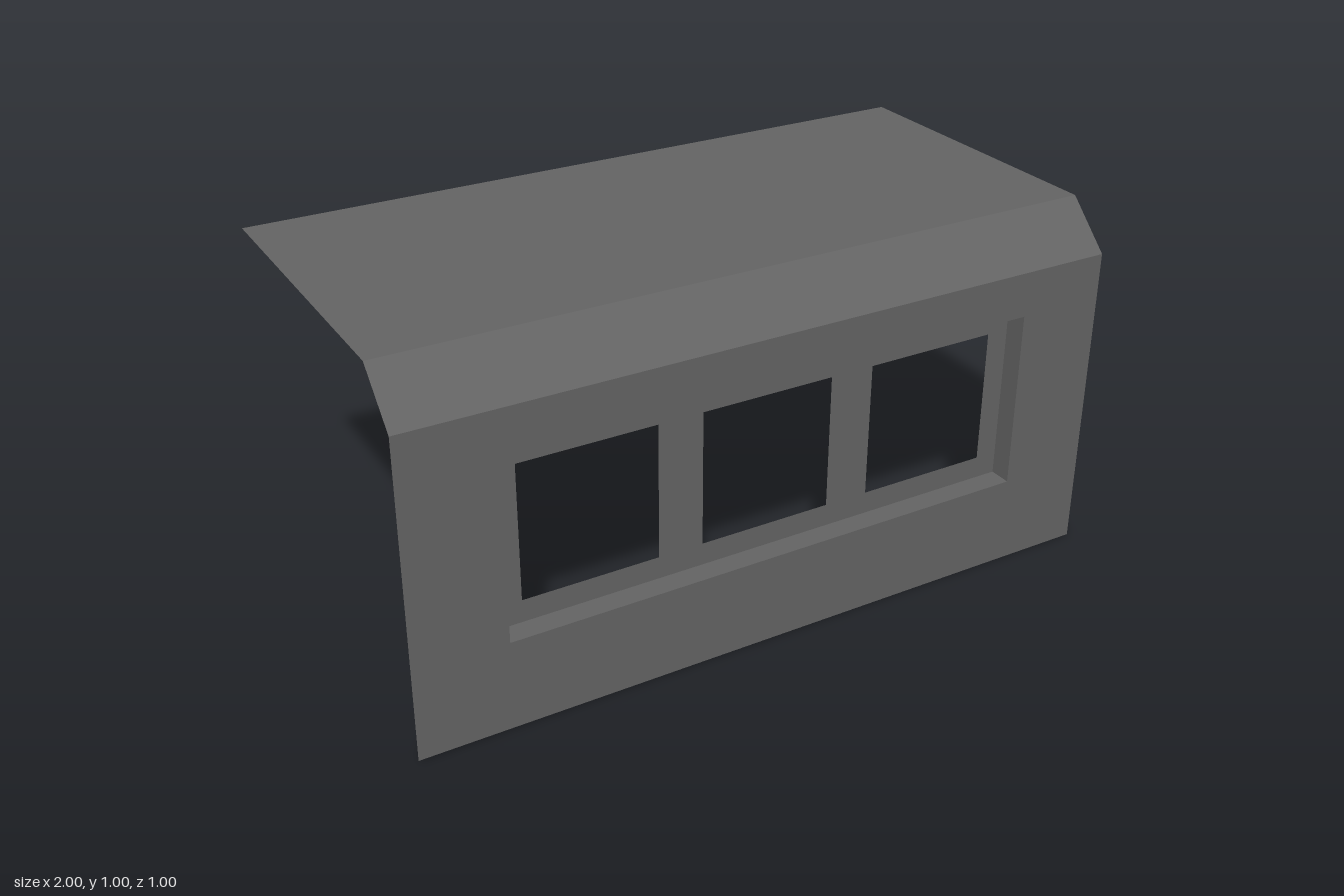
import * as THREE from 'three';

const W = 2, FRONT = 0.5, DEPTH = 0.0625;

// Adds a rectangle (centre x, centre y, width, height) to a shape or path
function rect(path, cx, cy, w, h) {
  path.moveTo(cx - w / 2, cy - h / 2);
  path.lineTo(cx + w / 2, cy - h / 2);
  path.lineTo(cx + w / 2, cy + h / 2);
  path.lineTo(cx - w / 2, cy + h / 2);
  path.closePath();
  return path;
}

export function createModel() {
  const group = new THREE.Group();
  const grey = new THREE.MeshStandardMaterial({ color: 0x646464, side: THREE.DoubleSide });
  grey.name = 'darkGrey';

  const add = (name, geometry, x, y, z, rx = 0, ry = 0) => {
    const mesh = new THREE.Mesh(geometry, grey);
    mesh.name = name;
    mesh.position.set(x, y, z);
    mesh.rotation.set(rx, ry, 0);
    group.add(mesh);
  };

  // Front wall with one wide opening
  const wall = rect(new THREE.Shape(), 0, 0.4375, W, 0.875);
  wall.holes.push(rect(new THREE.Path(), 0, 0.5, 1.5, 0.5));
  add('frontWall', new THREE.ShapeGeometry(wall), 0, 0, FRONT);

  // Recessed panel with three square windows
  const panel = rect(new THREE.Shape(), 0, 0.5, 1.5, 0.5);
  for (const x of [-0.5, 0, 0.5]) panel.holes.push(rect(new THREE.Path(), x, 0.5, 0.375, 0.375));
  add('windowPanel', new THREE.ShapeGeometry(panel), 0, 0, FRONT - DEPTH);

  // Reveals joining the wall to the recessed panel
  const midZ = FRONT - DEPTH / 2;
  add('revealSill', new THREE.PlaneGeometry(1.5, DEPTH), 0, 0.25, midZ, -Math.PI / 2);
  add('revealHead', new THREE.PlaneGeometry(1.5, DEPTH), 0, 0.75, midZ, Math.PI / 2);
  for (const s of [-1, 1])
    add(s > 0 ? 'revealLeft' : 'revealRight', new THREE.PlaneGeometry(DEPTH, 0.5), s * 0.75, 0.5, midZ, 0, -s * Math.PI / 2);

  // Sloped eave and flat roof
  add('slopedEave', new THREE.PlaneGeometry(W, 0.125 * Math.SQRT2), 0, 0.9375, 0.4375, -Math.PI / 4);
  add('roof', new THREE.PlaneGeometry(W, 0.875), 0, 1, -0.0625, -Math.PI / 2);

  return group;
}
